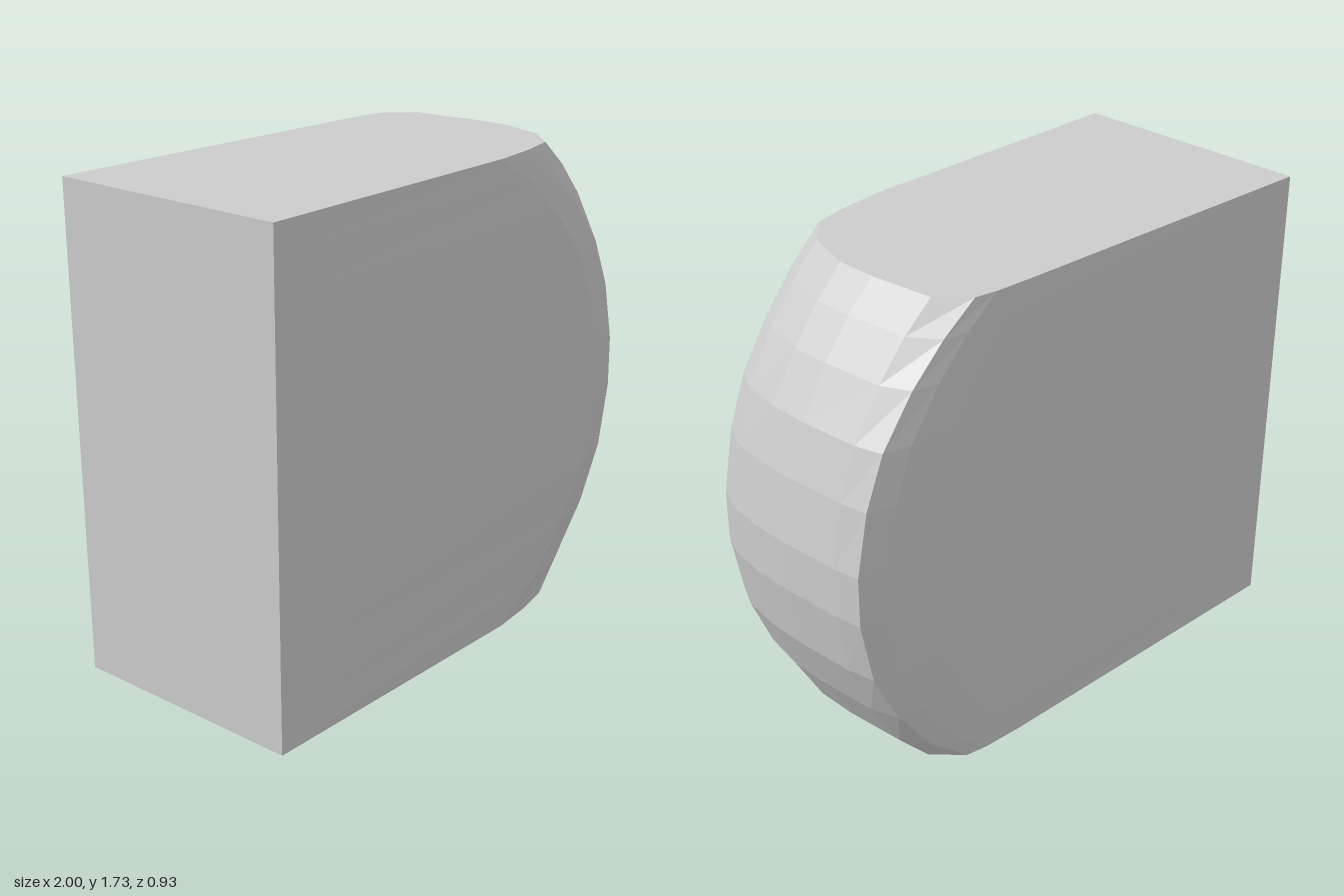
import * as THREE from 'three';

// Rounded nose outline seen from the front: [furthest x, height]
const nose = [
  [0.65, 0], [0.77, 0.13], [0.88, 0.32], [0.96, 0.52], [1, 0.75], [1, 0.93],
  [0.96, 1.15], [0.9, 1.33], [0.8, 1.5], [0.7, 1.63], [0.6, 1.73],
];
// Horizontal section of the nose, back to front: [distance behind the tip, z]
const midSection = [
  [0.31, -0.44], [0.13, -0.425], [0.03, -0.4], [0.015, -0.3], [0, -0.08],
  [0, 0.07], [0.02, 0.22], [0.06, 0.31], [0.15, 0.4], [0.31, 0.445],
];
const endSection = [
  [0.35, -0.435], [0.2, -0.428], [0.12, -0.415], [0.025, -0.32], [0, -0.08],
  [0, 0.07], [0.06, 0.26], [0.16, 0.37], [0.3, 0.405], [0.48, 0.43],
];
const height = 1.73;

// One closed ring of the body at a given height
function section([tip, y]) {
  const t = Math.pow(Math.abs(2 * y / height - 1), 3);
  const curve = midSection.map(([d, z], i) => new THREE.Vector3(
    tip - THREE.MathUtils.lerp(d, endSection[i][0], t),
    y,
    THREE.MathUtils.lerp(z, endSection[i][1], t),
  ));
  const rise = y / height;
  return [
    new THREE.Vector3(-1, y, -0.445 - 0.02 * rise),
    ...curve,
    new THREE.Vector3(-1, y, 0.455 + 0.008 * rise),
  ];
}

// Skin the rings and close both ends
function loft(rings) {
  const n = rings[0].length;
  const index = [];
  for (let r = 0; r < rings.length - 1; r++) {
    for (let i = 0; i < n; i++) {
      const j = (i + 1) % n;
      const a = r * n + i, b = r * n + j, c = a + n, d = b + n;
      index.push(a, c, b, b, c, d);
    }
  }
  const top = (rings.length - 1) * n;
  for (let i = 1; i < n - 1; i++) {
    index.push(0, i, i + 1);
    index.push(top, top + i + 1, top + i);
  }
  const geometry = new THREE.BufferGeometry().setFromPoints(rings.flat());
  geometry.setIndex(index);
  geometry.computeVertexNormals();
  return geometry;
}

export function createModel() {
  const group = new THREE.Group();
  group.name = 'roundedBlock';
  const material = new THREE.MeshStandardMaterial({ color: 0xcccccc, flatShading: true });
  const body = new THREE.Mesh(loft(nose.map(section)), material);
  body.name = 'body';
  group.add(body);
  return group;
}
